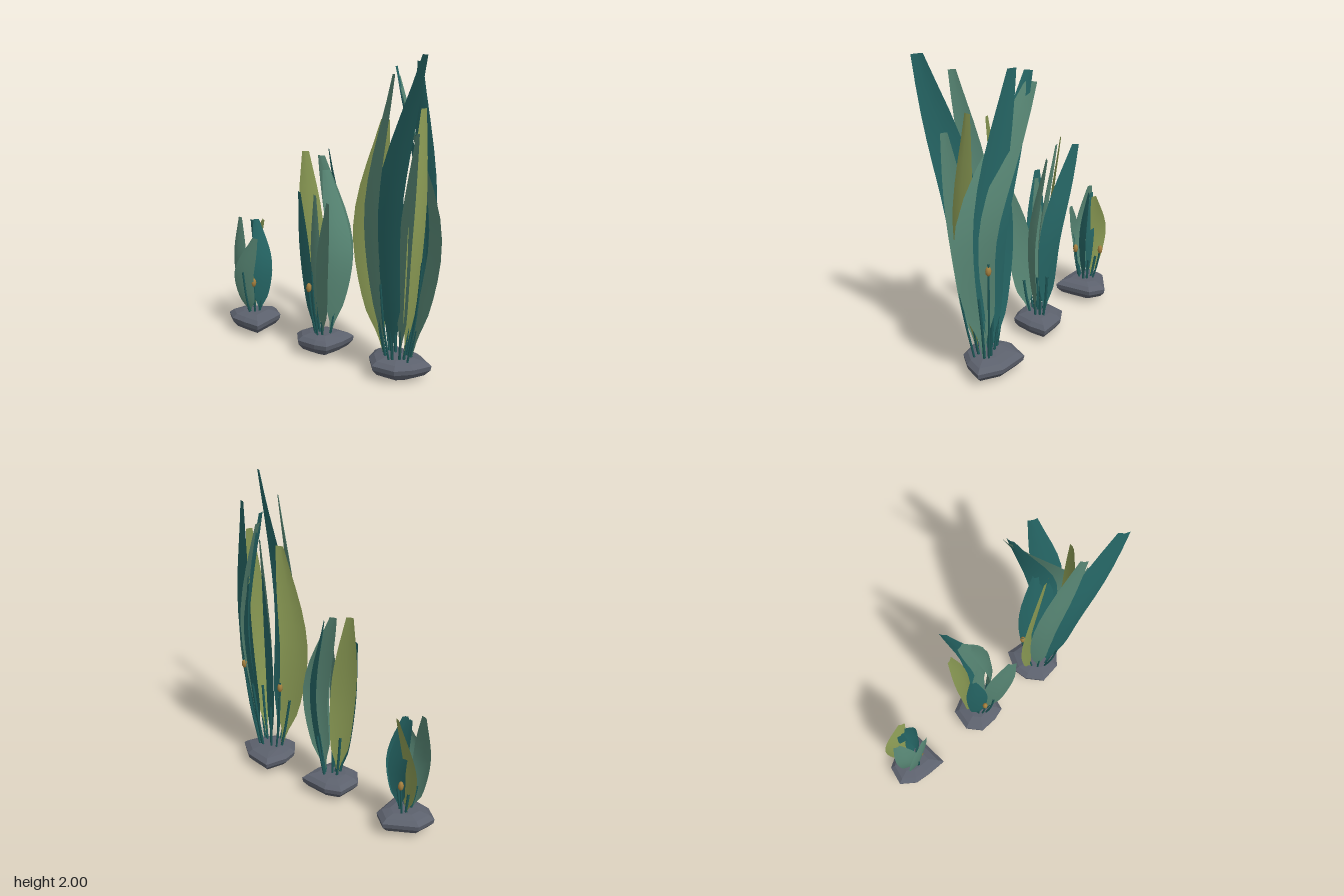
import * as THREE from 'three';
import { ConvexGeometry } from 'three/addons/geometries/ConvexGeometry.js';

const V = (x, y, z) => new THREE.Vector3(x, y, z);

const mat = (name, color, side = THREE.FrontSide, flatShading = false) => {
  const m = new THREE.MeshStandardMaterial({ color, side, flatShading });
  m.name = name;
  return m;
};

const GROUND = 0.11; // height at which stalks leave the rock

// Relative frond width at equal steps of height, from stalk to blunt tip
const PROFILE = new THREE.CatmullRomCurve3(
  [0.06, 0.22, 0.7, 0.86, 0.95, 1, 1, 0.92, 0.75, 0.52, 0.28].map((w, i) => V(w, i, 0)));

// Ribbon swept along a spine, slightly cupped and twisting toward the tip
function frondGeometry(curve, width, yaw, twist) {
  const rows = 16, pos = [], idx = [];
  const top = curve.getPoint(1).y;
  for (let i = 0; i <= rows; i++) {
    const c = curve.getPoint(i / rows);
    const f = THREE.MathUtils.clamp((c.y - GROUND) / (top - GROUND), 0, 1);
    const w = (PROFILE.getPoint(f).x * width) / 2;
    const a = yaw + twist * f * f, dx = Math.cos(a), dz = Math.sin(a);
    for (const s of [-1, 0, 1]) {
      const cup = s === 0 ? w * 0.22 : 0;
      pos.push(c.x + dx * w * s - dz * cup, c.y, c.z + dz * w * s + dx * cup);
    }
    if (i < rows) for (const k of [0, 1]) {
      const p = i * 3 + k;
      idx.push(p, p + 1, p + 3, p + 1, p + 4, p + 3);
    }
  }
  const g = new THREE.BufferGeometry();
  g.setAttribute('position', new THREE.Float32BufferAttribute(pos, 3));
  g.setIndex(idx);
  g.computeVertexNormals();
  return g;
}

// Irregular boulder: its outline scaled about the root at several heights, wrapped in a hull
function rockGeometry(cx, cz, outline) {
  const pts = [];
  for (const [y, s] of [[0.008, 0.5], [0.035, 0.8], [0.07, 0.97], [0.1, 1], [0.125, 0.82], [0.14, 0.5]]) {
    outline.forEach(([x, z], i) => {
      pts.push(V(cx + (x - cx) * s, y + 0.007 * Math.sin(i * 12.9 + cx * 9), cz + (z - cz) * s));
    });
  }
  return new ConvexGeometry(pts);
}

export function createModel() {
  const mats = {
    teal: mat('deep teal', 0x266766, THREE.DoubleSide),
    sage: mat('sage green', 0x588775, THREE.DoubleSide),
    olive: mat('olive', 0x8a9a54, THREE.DoubleSide),
    stem: mat('stem teal', 0x1f5c5c),
    bulb: mat('ochre', 0xa5803f),
    rock: mat('slate', 0x5c616d, THREE.FrontSide, true),
  };
  const model = new THREE.Group();
  model.name = 'kelpBed';

  // Starts a plant on its rock and returns helpers that grow its parts
  function plant(name, cx, cz, outline) {
    const group = new THREE.Group();
    group.name = name;
    model.add(group);
    const add = (part, geometry, material) => {
      const mesh = new THREE.Mesh(geometry, material);
      mesh.name = part;
      group.add(mesh);
      return mesh;
    };
    const toward = (x, z, k, y) => V(cx + (x - cx) * k, y, cz + (z - cz) * k);
    add('rock', rockGeometry(cx, cz, outline), mats.rock);

    return {
      // Frond through its widest point (x, z) to its tip, on a short stalk
      frond(color, yaw, width, x, z, tip, twist = 0.15) {
        const [tx, ty, tz] = tip;
        const rise = ty - GROUND;
        const curve = new THREE.CatmullRomCurve3([
          toward(x, z, 0.4, GROUND),
          toward(x, z, 0.65, GROUND + rise * 0.16),
          V(x, GROUND + rise * 0.53, z),
          V(tx, ty, tz),
        ]);
        add('frond', frondGeometry(curve, width, yaw, twist), mats[color]);
        const stalk = new THREE.CatmullRomCurve3([0, 0.15, 0.3, 0.45].map((t) => curve.getPoint(t)));
        add('stalk', new THREE.TubeGeometry(stalk, 6, 0.009, 5), mats.stem);
      },
      // Thin free shoot, optionally carrying a float bulb near its end
      shoot(x, y, z, hasBulb = false) {
        const curve = new THREE.CatmullRomCurve3([
          toward(x, z, 0.45, GROUND), toward(x, z, 0.8, (y + GROUND) / 2), V(x, y, z),
        ]);
        add('shoot', new THREE.TubeGeometry(curve, 6, 0.007, 5), mats.stem);
        if (!hasBulb) return;
        const bulb = add('floatBulb', new THREE.SphereGeometry(0.018, 8, 6), mats.bulb);
        bulb.position.copy(curve.getPoint(0.93));
        bulb.scale.y = 1.75;
      },
    };
  }

  // Small plant
  const small = plant('smallKelp', -0.65, -0.02, [
    [-0.62, -0.2], [-0.52, -0.13], [-0.5, 0.13], [-0.63, 0.13], [-0.74, 0.12], [-0.835, 0.05], [-0.81, -0.08]]);
  small.frond('sage', 0.15, 0.15, -0.715, 0.05, [-0.745, 0.81, 0.01]);
  small.frond('sage', -0.25, 0.15, -0.67, 0.07, [-0.57, 0.7, 0.06]);
  small.frond('olive', 0.3, 0.14, -0.725, -0.08, [-0.625, 0.79, -0.09]);
  small.frond('teal', -0.9, 0.13, -0.585, -0.03, [-0.645, 0.8, -0.04]);
  small.frond('teal', -0.1, 0.13, -0.62, -0.07, [-0.68, 0.79, -0.04]);
  small.shoot(-0.66, 0.45, 0.09);
  small.shoot(-0.61, 0.39, 0.04, true);
  small.shoot(-0.69, 0.39, -0.12, true);

  // Medium plant
  const medium = plant('mediumKelp', -0.045, -0.005, [
    [-0.2, -0.1], [-0.1, -0.15], [0.1, -0.15], [0.1, -0.03], [0.07, 0.11], [-0.01, 0.135], [-0.14, 0.14], [-0.22, 0.05]]);
  medium.frond('sage', 0.45, 0.18, 0.025, 0.095, [0.105, 1.07, 0.14]);
  medium.frond('teal', 0.35, 0.14, -0.125, 0.07, [-0.165, 1.09, 0.08]);
  medium.frond('olive', -0.6, 0.16, -0.15, -0.03, [-0.225, 1.32, -0.06]);
  medium.frond('sage', -0.4, 0.17, 0.035, -0.085, [-0.12, 1.3, -0.09]);
  medium.frond('sage', -0.9, 0.16, 0.07, -0.03, [-0.06, 1.22, -0.06]);
  medium.frond('teal', 0.45, 0.15, 0.01, -0.135, [-0.15, 1.32, -0.21], 0.4);
  medium.frond('sage', 0.2, 0.1, -0.08, 0.025, [-0.08, 1.07, 0.03]);
  medium.shoot(-0.08, 0.5, 0.1, true);
  medium.shoot(-0.03, 0.6, 0.13);
  medium.shoot(-0.06, 0.56, -0.03, true);

  // Tall plant
  const tall = plant('tallKelp', 0.535, -0.005, [
    [0.4, -0.19], [0.6, -0.17], [0.735, -0.08], [0.68, 0.04], [0.6, 0.13], [0.45, 0.15], [0.36, 0.05], [0.34, -0.05]]);
  tall.frond('teal', 0.2, 0.24, 0.55, 0.155, [0.8, 2, 0.21], 0.4);
  tall.frond('sage', 0.35, 0.16, 0.405, 0.115, [0.575, 1.88, 0.16], 0.35);
  tall.frond('olive', -0.5, 0.19, 0.335, 0.035, [0.44, 1.6, 0.03]);
  tall.frond('olive', -1.5, 0.16, 0.675, 0.045, [0.67, 1.68, -0.01]);
  tall.frond('sage', 0.5, 0.25, 0.715, -0.085, [0.365, 1.82, -0.22], 0.75);
  tall.frond('teal', 0.4, 0.18, 0.61, -0.125, [0.36, 1.88, -0.2], 0.85);
  tall.frond('teal', 0.25, 0.2, 0.64, -0.11, [0.52, 1.92, -0.2], 0.2);
  tall.frond('sage', 0.45, 0.15, 0.63, 0.09, [0.715, 1.56, 0.12]);
  tall.frond('teal', 0.4, 0.15, 0.46, -0.075, [0.48, 1.42, -0.09]);
  tall.shoot(0.73, 0.8, 0.06);
  tall.shoot(0.51, 0.65, 0.16);
  tall.shoot(0.385, 0.68, -0.05, true);
  tall.shoot(0.66, 0.81, -0.12, true);

  return model;
}
